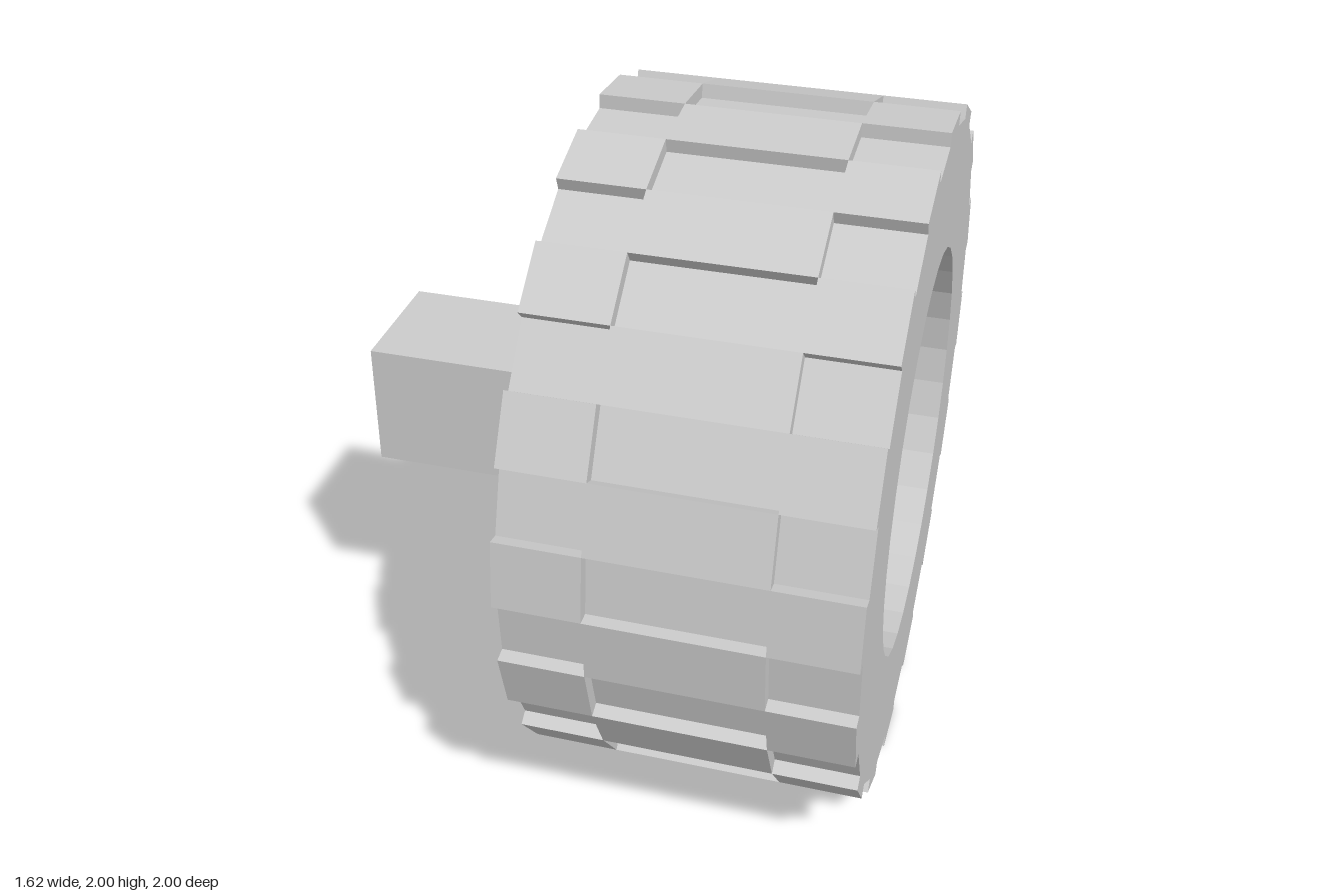
import * as THREE from 'three';

const SIDES = 32, HIGH = 1, LOW = 0.96;
const RINGS = [-0.145, 0.095, 0.575, 0.81]; // tread ring borders along the axle

const material = new THREE.MeshStandardMaterial({ color: 0xcccccc, flatShading: true });

// point at x, radius r, angle step k around the axle
const at = (x, r, k) => {
  const t = (k * 2 * Math.PI) / SIDES;
  return [x, r * Math.sin(t), r * Math.cos(t)];
};

function quad(out, a, b, c, d) {
  out.push(...a, ...b, ...c, ...a, ...c, ...d);
}

// sweeps an [x, radius] profile through one segment k
function sweep(out, profile, k) {
  for (let i = 0; i + 1 < profile.length; i++) {
    const [x0, r0] = profile[i], [x1, r1] = profile[i + 1];
    quad(out, at(x0, r0, k), at(x1, r1, k), at(x1, r1, k + 1), at(x0, r0, k + 1));
  }
}

function toMesh(positions, name) {
  const geometry = new THREE.BufferGeometry();
  geometry.setAttribute('position', new THREE.Float32BufferAttribute(positions, 3));
  geometry.computeVertexNormals();
  const mesh = new THREE.Mesh(geometry, material);
  mesh.name = name;
  mesh.position.y = 1;
  return mesh;
}

// tread height of a ring in segment k: rings alternate like a checkerboard
const treadRadius = (ring, k) => ((ring + k) % 2 === 0 ? HIGH : LOW);

function createTyre() {
  const out = [];
  for (let k = 0; k < SIDES; k++) {
    const profile = [[RINGS[0], 0]];
    for (let ring = 0; ring < 3; ring++) {
      const r = treadRadius(ring, k);
      profile.push([RINGS[ring], r], [RINGS[ring + 1], r]);
      // side wall of the tread block towards the next segment
      const next = treadRadius(ring, k + 1);
      const x0 = RINGS[ring], x1 = RINGS[ring + 1];
      quad(out, at(x0, r, k + 1), at(x1, r, k + 1), at(x1, next, k + 1), at(x0, next, k + 1));
    }
    profile.push([RINGS[3], 0.6]);
    sweep(out, profile, k);
  }
  return toMesh(out, 'tyre');
}

// recessed well with a conical hub standing in it
function createHub() {
  const out = [];
  const profile = [[0.81, 0.6], [0.33, 0.6], [0.715, 0.3], [0.715, 0]];
  for (let k = 0; k < SIDES; k++) sweep(out, profile, k);
  return toMesh(out, 'hub');
}

export function createModel() {
  const group = new THREE.Group();
  group.name = 'wheel';

  // square axle stub
  const axle = new THREE.Mesh(new THREE.BoxGeometry(0.67, 0.38, 0.38), material);
  axle.name = 'axle';
  axle.position.set(-0.475, 1, 0);

  group.add(createTyre(), createHub(), axle);
  return group;
}
